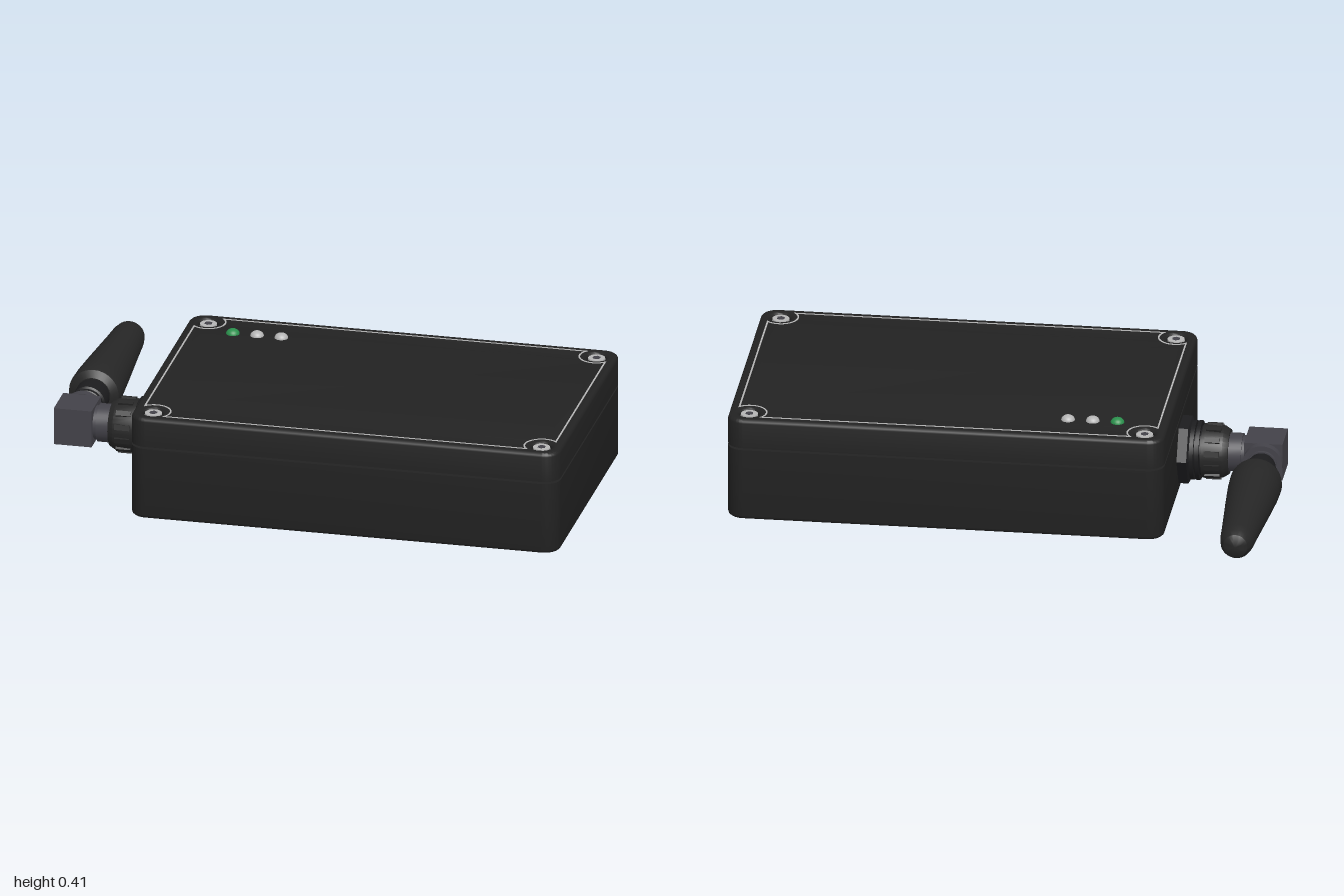
import * as THREE from 'three';
import { toCreasedNormals } from 'three/addons/utils/BufferGeometryUtils.js';

const mat = (name, color) => Object.assign(new THREE.MeshStandardMaterial({ color }), { name });

export function createModel() {
  const black = mat('case black', 0x222222);
  const rubber = mat('antenna rubber', 0x262626);
  const dark = mat('gland black', 0x1c1c1e);
  const grey = mat('connector grey', 0x434249);
  const silver = mat('light silver', 0xb4b4b4);
  const green = mat('led green', 0x2a8f4c);

  const model = new THREE.Group();
  model.name = 'wirelessSensorBox';
  const add = (name, geo, material, x = 0, y = 0, z = 0, parent = model) => {
    const m = new THREE.Mesh(geo, material);
    m.name = name;
    m.position.set(x, y, z);
    parent.add(m);
    return m;
  };

  // Case dimensions; parts of the case are placed around CX, CZ
  const CX = 0.2, CZ = 0.178, HX = 0.795, HZ = 0.512, SX = 0.72, SZ = 0.437;
  const SEAM = 0.272, LID = 0.28, TOP = 0.39, BEVEL = 0.014;
  const corners = [[1, 1], [-1, 1], [-1, -1], [1, -1]];

  const roundedRect = (hx, hz, r) => {
    const s = new THREE.Shape();
    corners.forEach(([a, b], i) =>
      s.absarc(a * (hx - r), b * (hz - r), r, i * Math.PI / 2, (i + 1) * Math.PI / 2, false));
    s.closePath();
    return s;
  };

  // Rounded tray: bevelled at one end, clamped flat at the seam end
  const shell = (shape, y0, y1, flatTop) => {
    const g = new THREE.ExtrudeGeometry(shape, {
      depth: y1 - y0 - BEVEL, bevelEnabled: true, bevelThickness: BEVEL,
      bevelSize: BEVEL, bevelOffset: -BEVEL, bevelSegments: 3, curveSegments: 8,
    });
    g.rotateX(-Math.PI / 2).translate(0, flatTop ? y0 + BEVEL : y0, 0);
    const p = g.attributes.position;
    for (let i = 0; i < p.count; i++) {
      const y = p.getY(i);
      p.setY(i, flatTop ? Math.min(y, y1) : Math.max(y, y0));
    }
    return toCreasedNormals(g, 0.6);
  };

  add('caseBase', shell(roundedRect(HX, HZ, 0.06), 0, SEAM, true), black, CX, 0, CZ);
  const lidShape = roundedRect(HX, HZ, 0.06);
  for (const [a, b] of corners) {
    lidShape.holes.push(new THREE.Path().absarc(a * SX, b * SZ, 0.036, 0, Math.PI * 2, true));
  }
  add('caseLid', shell(lidShape, LID, TOP, false), black, CX, 0, CZ);

  // Thin border line on the lid, notched around each screw
  const outline = (d) => {
    const hx = 0.765 - d, hz = 0.48 - d, r = 0.06 + d;
    const dx = hx - SX, dz = hz - SZ;
    const ax = Math.sqrt(r * r - dz * dz), az = Math.sqrt(r * r - dx * dx);
    const pts = [];
    corners.forEach(([a, b], i) => {
      const from = Math.atan2(-az, dx), to = Math.atan2(dz, -ax) - Math.PI * 2;
      const arc = [];
      for (let k = 0; k <= 12; k++) {
        const t = from + (to - from) * k / 12;
        arc.push(new THREE.Vector2(a * (SX + r * Math.cos(t)), b * (SZ + r * Math.sin(t))));
      }
      pts.push(...(i % 2 ? arc.reverse() : arc));
    });
    return pts;
  };
  const border = new THREE.Shape(outline(0));
  border.holes.push(new THREE.Path(outline(0.006)));
  const borderGeo = new THREE.ExtrudeGeometry(border, { depth: 0.002, bevelEnabled: false });
  add('lidBorder', borderGeo.rotateX(-Math.PI / 2), silver, CX, TOP - 0.0005, CZ);

  // Corner screws, with shanks crossing the seam
  for (const [a, b] of corners) {
    const screw = new THREE.Group();
    screw.name = 'lidScrew';
    screw.position.set(CX + a * SX, 0, CZ + b * SZ);
    add('screwShank', new THREE.CylinderGeometry(0.022, 0.022, 0.1, 16), dark, 0, 0.3, 0, screw);
    add('screwHead', new THREE.CylinderGeometry(0.031, 0.035, 0.05, 24), silver, 0, 0.361, 0, screw);
    add('screwSocket', new THREE.CylinderGeometry(0.015, 0.015, 0.002, 6), grey, 0, 0.3865, 0, screw);
    model.add(screw);
  }

  // Indicator lights
  [green, silver, silver].forEach((m, i) => {
    const dome = new THREE.SphereGeometry(0.025, 24, 8, 0, Math.PI * 2, 0, Math.PI / 2);
    add('indicatorLight', dome.scale(1, 0.8, 1), m, -0.41 + i * 0.09, TOP - 0.001, -0.175);
  });

  // Lathe helper: profile is [radius, distance along the axis]
  const turned = (profile, sides = 32) => toCreasedNormals(
    new THREE.LatheGeometry(profile.map(([r, t]) => new THREE.Vector2(r, t)), sides), 0.5);
  const alongX = (g) => g.rotateZ(-Math.PI / 2);
  const alongBack = (g) => g.rotateX(-Math.PI / 2);
  const AX = -0.905, AY = 0.145, GZ = 0.175;

  // Cable gland, running out of the left-hand wall of the case
  const hexNut = alongX(turned([[0, -0.637], [0.112, -0.637], [0.124, -0.63], [0.124, -0.594], [0, -0.594]], 6));
  add('glandHexFlange', hexNut, dark, 0, AY, GZ);
  add('glandBody', alongX(turned([
    [0, -0.68], [0.09, -0.68], [0.09, -0.672], [0.108, -0.672], [0.108, -0.658],
    [0.088, -0.658], [0.088, -0.652], [0.108, -0.652], [0.108, -0.637], [0, -0.637],
  ])), dark, 0, AY, GZ);
  add('glandCap', alongX(turned([
    [0, -0.775], [0.082, -0.775], [0.094, -0.755], [0.098, -0.69], [0.098, -0.678], [0, -0.678],
  ])), rubber, 0, AY, GZ);
  for (let i = 0; i < 12; i++) {
    const a = (i + 0.5) * Math.PI / 6;
    const rib = add('glandGripRib', new THREE.BoxGeometry(0.055, 0.012, 0.02), rubber,
      -0.718, AY + 0.097 * Math.cos(a), GZ + 0.097 * Math.sin(a));
    rib.rotation.x = a;
  }

  // Right-angle connector
  add('connectorBarrel', alongX(turned([
    [0, -0.84], [0.062, -0.84], [0.062, -0.822], [0.07, -0.822], [0.07, -0.77], [0, -0.77],
  ])), grey, 0, AY, GZ);
  add('connectorElbow', new THREE.BoxGeometry(0.14, 0.14, 0.15), grey, AX, AY, GZ);
  add('connectorCollar', alongBack(turned([
    [0, -0.1], [0.073, -0.1], [0.073, -0.07], [0.055, -0.07], [0.055, -0.06], [0, -0.06],
  ])), grey, AX, AY, 0);

  // Stub antenna pointing backwards
  add('antennaNeck', alongBack(turned([
    [0, -0.072], [0.05, -0.072], [0.05, -0.03], [0.056, -0.025], [0.056, -0.01],
    [0.063, -0.005], [0.063, 0.08], [0, 0.08],
  ])), dark, AX, AY, 0);
  add('antennaSleeve', alongBack(turned([
    [0, 0.07], [0.066, 0.07], [0.092, 0.086], [0.095, 0.1], [0.093, 0.18], [0.083, 0.33],
    [0.068, 0.53], [0.062, 0.62], [0.056, 0.655], [0.044, 0.677], [0.025, 0.688], [0, 0.69],
  ])), rubber, AX, AY, 0);

  return model;
}
